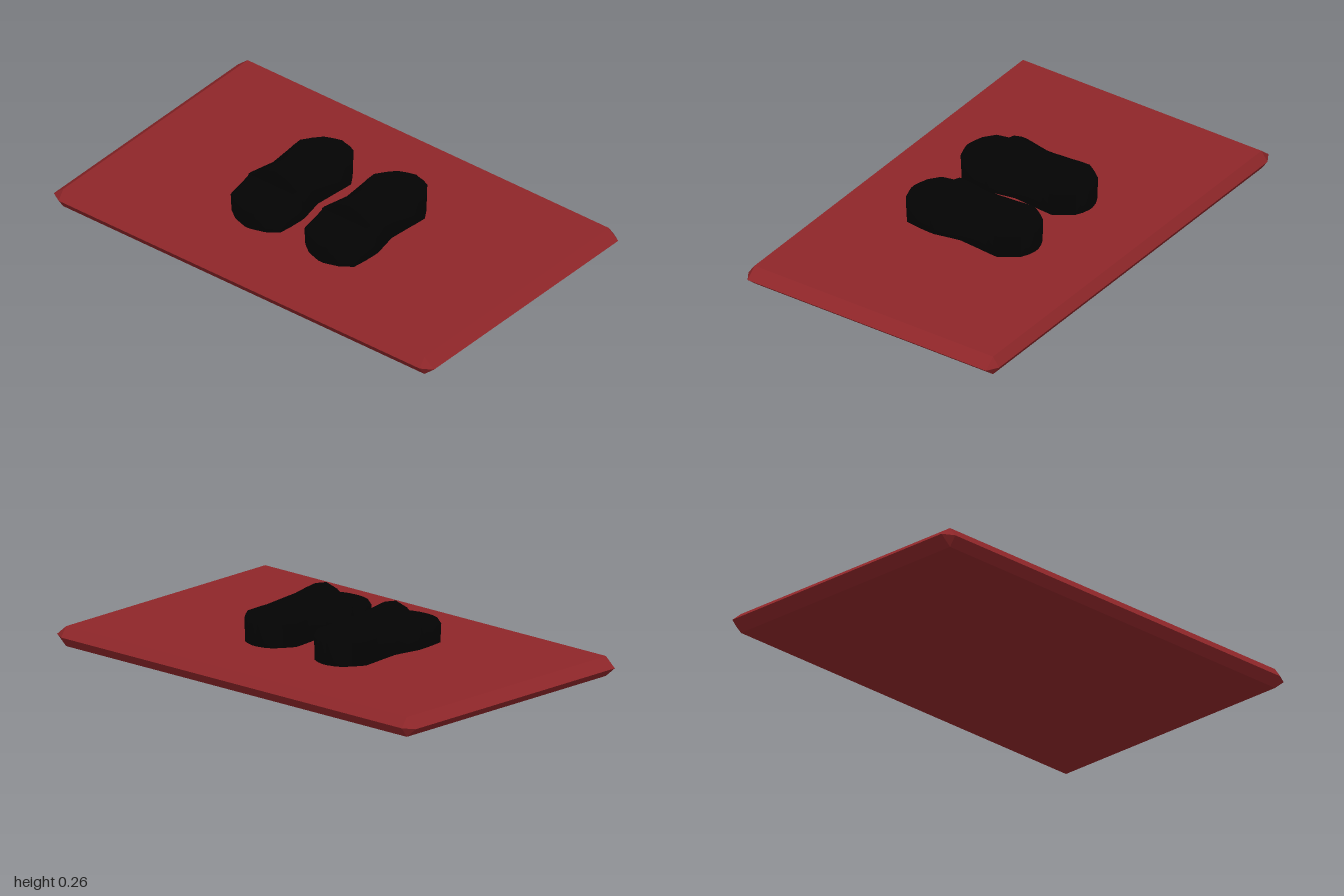
import * as THREE from 'three';
import { toCreasedNormals } from 'three/addons/utils/BufferGeometryUtils.js';

// Skin a list of equal-length rings; seen from the last ring's end, each runs clockwise.
function loft(rings) {
  const n = rings[0].length, last = (rings.length - 1) * n, index = [];
  for (let i = 0; i < rings.length - 1; i++) {
    for (let j = 0; j < n; j++) {
      const a = i * n + j, b = i * n + (j + 1) % n;
      index.push(a, a + n, b, b, a + n, b + n);
    }
  }
  for (let j = 1; j < n - 1; j++) {
    index.push(0, j, j + 1, last, last + j + 1, last + j);
  }
  const geometry = new THREE.BufferGeometry();
  geometry.setAttribute('position', new THREE.Float32BufferAttribute(rings.flat(2), 3));
  geometry.setIndex(index);
  return geometry;
}

// Low board: bevelled rectangle whose widest line lies at mid height
function makeBoard() {
  const x = 0.95, z = 0.595, bx = 0.05, bz = 0.03, h = 0.085;
  const ring = (y, ox, oz) => [
    [-x - ox, y, z], [-x - ox, y, -z], [-x, y, -z - oz], [x, y, -z - oz],
    [x + ox, y, -z], [x + ox, y, z], [x, y, z + oz], [-x, y, z + oz],
  ];
  const geometry = loft([ring(0, 0, 0), ring(h / 2, bx, bz), ring(h, 0, 0)]).toNonIndexed();
  geometry.computeVertexNormals();
  const material = new THREE.MeshStandardMaterial({ color: 0x8e2629, flatShading: true });
  const board = new THREE.Mesh(geometry, material);
  board.name = 'board';
  return board;
}

// Slipper sections from toe to heel: z, half width, side height, crown height
const SECTIONS = [
  [-0.281, 0.012, 0.18, 0.186], [-0.273, 0.045, 0.182, 0.19], [-0.257, 0.078, 0.184, 0.195],
  [-0.22, 0.107, 0.186, 0.207], [-0.175, 0.136, 0.187, 0.217], [-0.13, 0.133, 0.188, 0.228],
  [-0.095, 0.129, 0.188, 0.231], [0.02, 0.119, 0.189, 0.25], [0.085, 0.132, 0.19, 0.259],
  [0.135, 0.143, 0.19, 0.263], [0.15, 0.143, 0.19, 0.264],
  [0.152, 0.143, 0.183, 0.19], [0.165, 0.143, 0.178, 0.185], [0.22, 0.139, 0.169, 0.176],
  [0.28, 0.131, 0.165, 0.172], [0.317, 0.081, 0.165, 0.171], [0.33, 0.04, 0.165, 0.17],
  [0.338, 0.012, 0.164, 0.168],
];
const ROOF = [[-1, 0], [-0.82, 0.3], [-0.42, 0.78], [0, 1], [0.42, 0.78], [0.82, 0.3], [1, 0]];
const FOOTBED = [[-1, 0], [-0.92, 1], [-0.42, 1], [0, 1], [0.42, 1], [0.92, 1], [1, 0]];

function makeSlipperGeometry() {
  const base = 0.083;
  const rings = SECTIONS.map(([z, w, side, crown]) => {
    const top = (z > 0.151 ? FOOTBED : ROOF).map(([u, f]) => [u * w, side + (crown - side) * f, z]);
    return [[-w * 0.98, base, z * 0.99], ...top, [w * 0.98, base, z * 0.99]];
  });
  return toCreasedNormals(loft(rings), 1.1);
}

export function createModel() {
  const model = new THREE.Group();
  model.name = 'slippersOnBoard';
  model.add(makeBoard());

  // Pair of slippers
  const geometry = makeSlipperGeometry();
  const material = new THREE.MeshStandardMaterial({ color: 0x030303 });
  for (const [name, x] of [['leftSlipper', 0.193], ['rightSlipper', -0.195]]) {
    const slipper = new THREE.Mesh(geometry, material);
    slipper.name = name;
    slipper.position.x = x;
    model.add(slipper);
  }
  return model;
}
